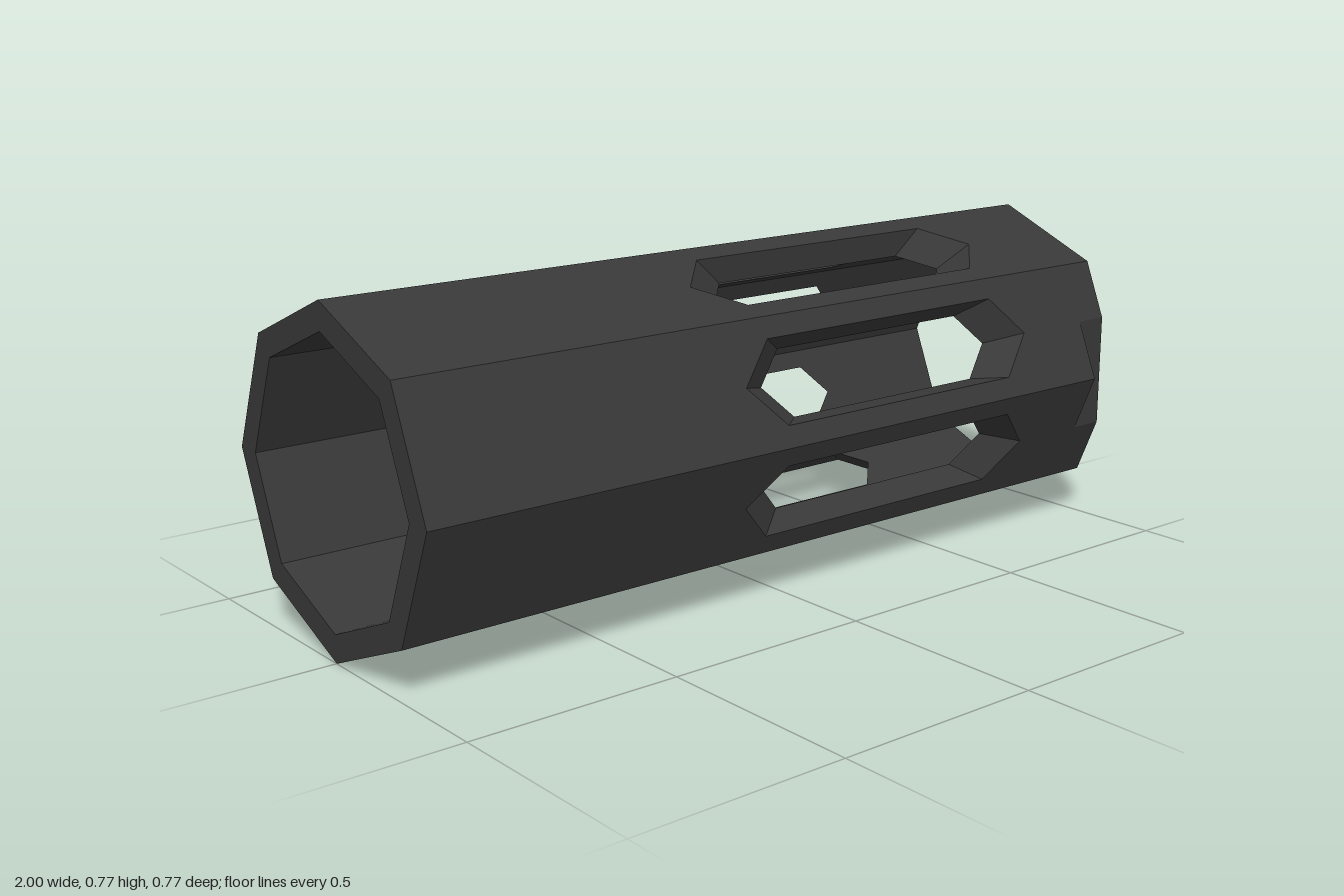
import * as THREE from 'three';
import { mergeGeometries } from 'three/addons/utils/BufferGeometryUtils.js';

const R = 0.383, RI = 0.319;          // outer and inner corner radius
const HALF = Math.PI / 8;
const APO = R * Math.cos(HALF), APO_IN = RI * Math.cos(HALF);
const W = R * Math.sin(HALF), W_IN = RI * Math.sin(HALF);
const NOTCH_X = 0.915;                // where the side notches begin
const NOTCH_Z = APO * Math.cos(HALF), NOTCH_Y = APO * Math.sin(HALF);
const SLOT_X = 0.27;

const toShape = pts => new THREE.Shape(pts.map(p => new THREE.Vector2(...p)));

// Stretched hexagon, counter-clockwise
const hexagon = s => [[-0.44, 0], [-0.35, -0.097], [0.35, -0.097], [0.44, 0], [0.35, 0.097], [-0.35, 0.097]]
  .map(([x, y]) => [SLOT_X + x * s, y * s]);

// Flat side of the tube with a slot cut in it
function slottedPlate(outline, hole, depth, flip) {
  const shape = toShape(outline);
  shape.holes.push(toShape(hole));
  const g = new THREE.ShapeGeometry(shape);
  g.translate(0, 0, depth);
  if (flip) {
    const a = g.index.array;
    for (let i = 0; i < a.length; i += 3) [a[i], a[i + 1]] = [a[i + 1], a[i]];
  }
  const out = g.toNonIndexed();
  out.deleteAttribute('uv');
  out.computeVertexNormals();
  return out;
}

// Sloping walls between the outer and inner slot outlines
function slotWalls(outer, inner) {
  const pos = [];
  outer.forEach((p, i) => {
    const j = (i + 1) % outer.length;
    const a = [...p, APO], b = [...outer[j], APO];
    const c = [...inner[j], APO_IN], d = [...inner[i], APO_IN];
    pos.push(...a, ...b, ...c, ...a, ...c, ...d);
  });
  const g = new THREE.BufferGeometry();
  g.setAttribute('position', new THREE.Float32BufferAttribute(pos, 3));
  g.computeVertexNormals();
  return g;
}

function sidePanel(notchLow, notchHigh) {
  const outline = [
    [-1, -W],
    ...(notchLow ? [[NOTCH_X, -W], [NOTCH_X, 0], [1, 0]] : [[1, -W]]),
    ...(notchHigh ? [[1, 0], [NOTCH_X, 0], [NOTCH_X, W]] : [[1, W]]),
    [-1, W],
  ];
  const innerOutline = [[-1, -W_IN], [1, -W_IN], [1, W_IN], [-1, W_IN]];
  const outer = hexagon(1), inner = hexagon(0.8);
  return mergeGeometries([
    slottedPlate(outline, outer, APO, false),
    slottedPlate(innerOutline, inner, APO_IN, true),
    slotWalls(outer, inner),
  ]);
}

// Octagonal ring closing one end of the tube wall
function endRing(notched) {
  const corner = (r, k) => [r * Math.cos(k * 2 * HALF), r * Math.sin(k * 2 * HALF)];
  const outer = [], inner = [];
  for (let k = 0; k < 8; k++) {
    inner.push(corner(RI, k));
    if (notched && k % 4 === 0) {
      const s = k === 0 ? 1 : -1;
      outer.push([s * NOTCH_Z, -s * NOTCH_Y], [s * NOTCH_Z, s * NOTCH_Y]);
    } else outer.push(corner(R, k));
  }
  const shape = toShape(outer);
  shape.holes.push(toShape(inner));
  return new THREE.ShapeGeometry(shape);
}

export function createModel() {
  const model = new THREE.Group();
  model.name = 'slottedOctagonalTube';
  const tube = new THREE.Group();
  tube.name = 'tube';
  tube.position.y = R;
  model.add(tube);

  const charcoal = new THREE.MeshStandardMaterial({ color: 0x383838 });
  charcoal.name = 'charcoal';
  const add = (name, geometry) => {
    const mesh = new THREE.Mesh(geometry, charcoal);
    mesh.name = name;
    tube.add(mesh);
    return mesh;
  };

  // Eight slotted sides
  for (let k = 0; k < 8; k++) {
    add('sidePanel' + (k + 1), sidePanel(k % 4 === 0, k % 4 === 3)).rotation.x = -(2 * k + 1) * HALF;
  }

  // Open ends
  for (const s of [1, -1]) {
    const ring = add(s > 0 ? 'leftEndRing' : 'rightEndRing', endRing(s > 0));
    ring.rotation.y = s * Math.PI / 2;
    ring.position.x = s;
  }

  // Flat notches on the front and back corners
  for (const s of [1, -1]) {
    const side = s > 0 ? 'front' : 'back';
    const flat = add(side + 'NotchFlat', new THREE.PlaneGeometry(1 - NOTCH_X, 2 * NOTCH_Y));
    flat.position.set((1 + NOTCH_X) / 2, 0, s * NOTCH_Z);
    flat.rotation.y = s > 0 ? 0 : Math.PI;
    const step = add(side + 'NotchStep', new THREE.ShapeGeometry(
      toShape([[-s * R, 0], [-s * NOTCH_Z, -NOTCH_Y], [-s * NOTCH_Z, NOTCH_Y]])));
    step.rotation.y = Math.PI / 2;
    step.position.x = NOTCH_X;
  }
  return model;
}
